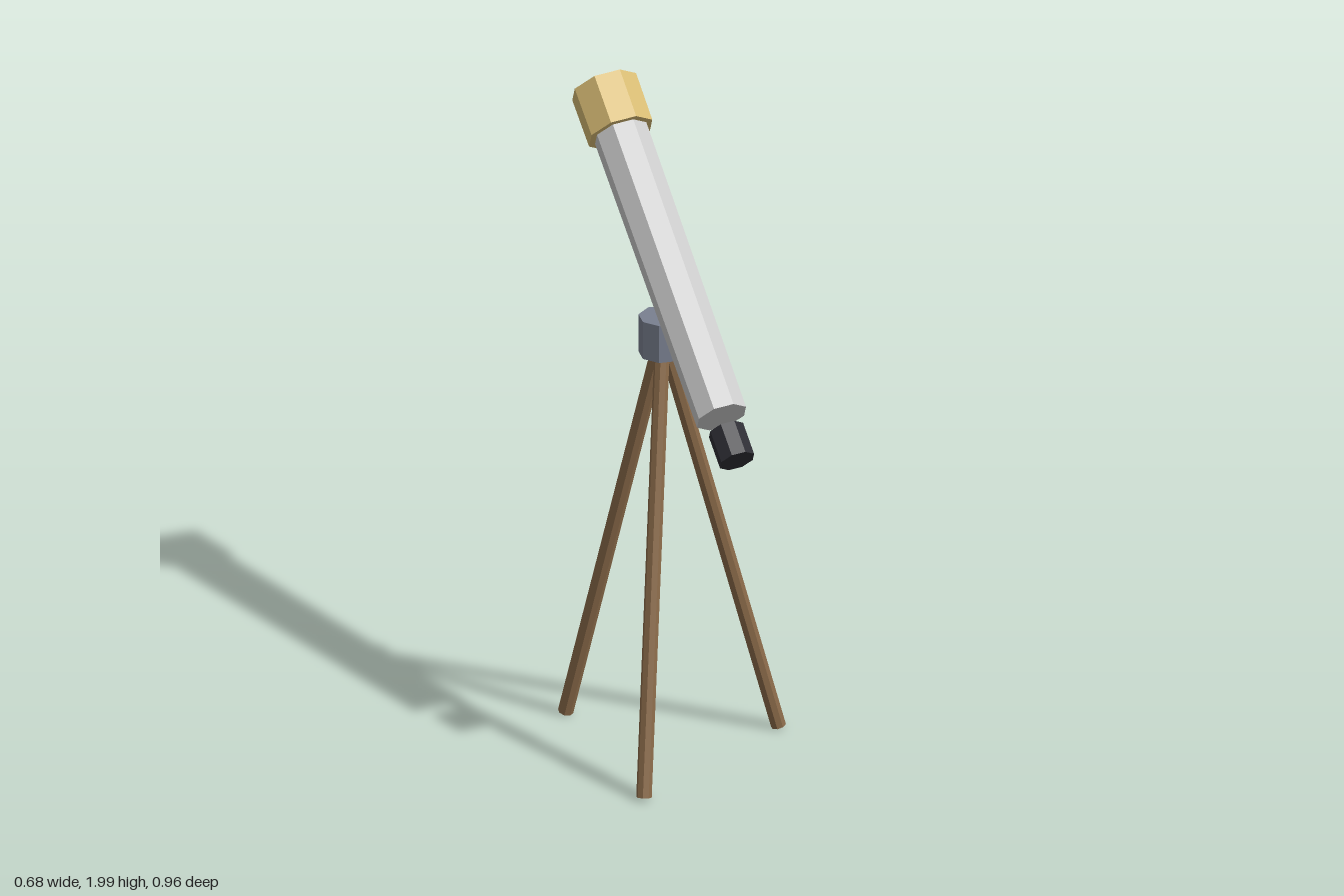
import * as THREE from 'three';

const UP = new THREE.Vector3(0, 1, 0);

function material(color) {
  return new THREE.MeshStandardMaterial({ color, flatShading: true });
}

// Eight-sided rod running from point a to point b
function rod(name, a, b, radiusA, radiusB, mat) {
  const dir = b.clone().sub(a);
  const mesh = new THREE.Mesh(new THREE.CylinderGeometry(radiusB, radiusA, dir.length(), 8), mat);
  mesh.name = name;
  mesh.position.copy(a).lerp(b, 0.5);
  mesh.quaternion.setFromUnitVectors(UP, dir.normalize());
  return mesh;
}

export function createModel() {
  const model = new THREE.Group();
  model.name = 'telescope';
  const wood = material(0x8b6b4a);
  const hubZ = 0.045;

  // Tripod: three splayed legs meeting inside the hub
  const tripod = new THREE.Group();
  tripod.name = 'tripod';
  const apex = new THREE.Vector3(0, 1.34, hubZ);
  for (let i = 0; i < 3; i++) {
    const a = (i * Math.PI * 2) / 3;
    const foot = new THREE.Vector3(0.365 * Math.sin(a), 0.006, hubZ + 0.365 * Math.cos(a));
    tripod.add(rod('leg', foot, apex, 0.023, 0.023, wood));
  }
  model.add(tripod);

  // Mount hub
  model.add(rod('hub', new THREE.Vector3(0, 1.28, hubZ), new THREE.Vector3(0, 1.4, hubZ),
    0.072, 0.072, material(0x7a8090)));

  // Optical parts, placed by distance along the tilted axis from the eyepiece end
  const start = new THREE.Vector3(0.28, 1.13, 0.433);
  const end = new THREE.Vector3(-0.243, 1.914, -0.41);
  const axis = end.clone().sub(start);
  const length = axis.length();
  axis.normalize();
  const at = (t) => start.clone().addScaledVector(axis, t);

  const optics = new THREE.Group();
  optics.name = 'optics';
  optics.add(
    rod('eyepiece', at(0), at(0.105), 0.055, 0.055, material(0x2e2e34)),
    rod('tube', at(0.148), at(length - 0.1), 0.079, 0.083, material(0xcccccc)),
    rod('lensHood', at(length - 0.157), at(length), 0.102, 0.103, material(0xd8bc74)),
  );
  model.add(optics);
  return model;
}
